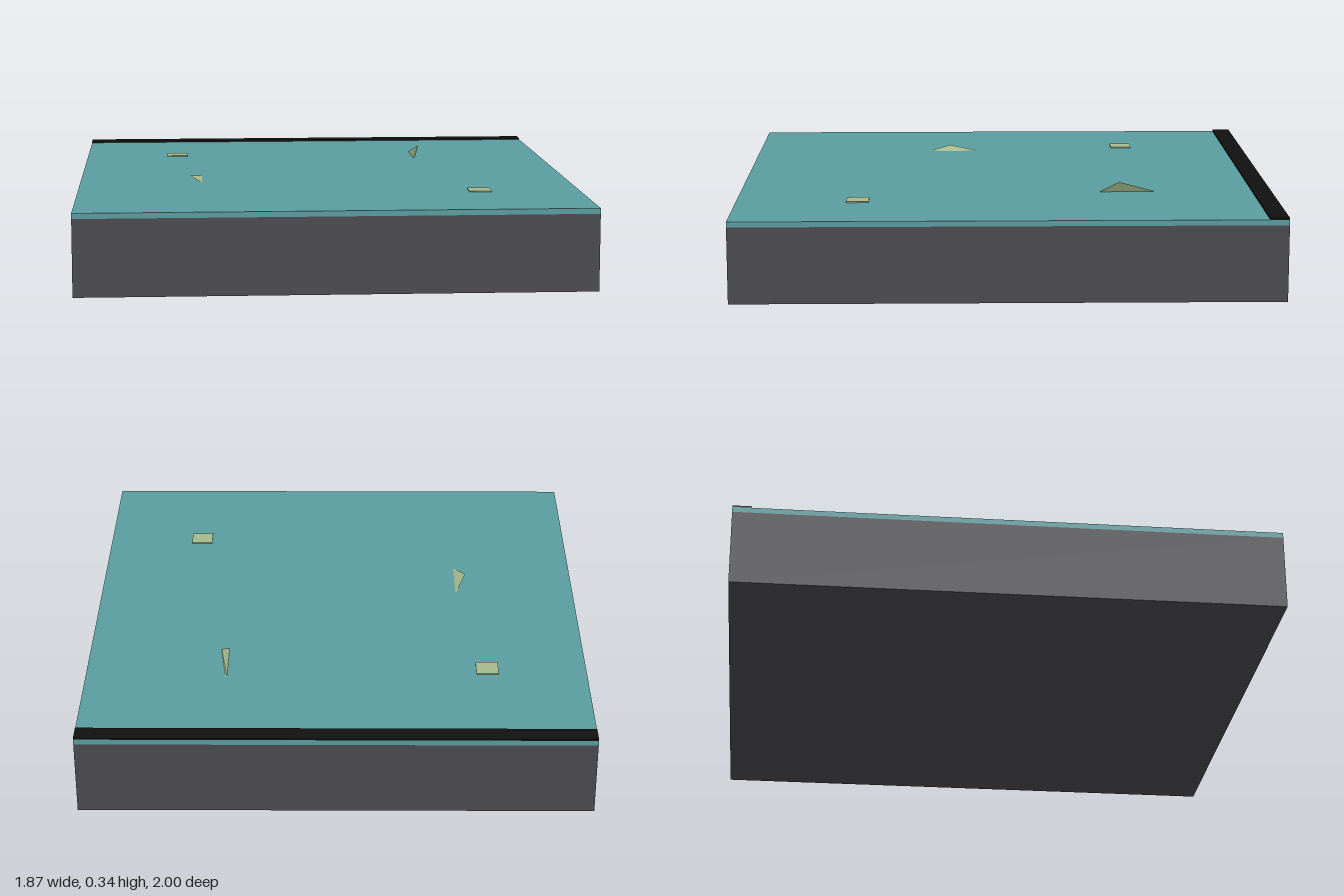
import * as THREE from 'three';

const flat = (name, color) => {
  const m = new THREE.MeshStandardMaterial({ color });
  m.name = name;
  return m;
};

export function createModel() {
  const model = new THREE.Group();
  const stone = flat('dark grey', 0x4a494e);
  const water = flat('teal', 0x5a9da0);
  const black = flat('black', 0x111111);
  const sage = flat('sage green', 0xa6ba8c);

  const add = (name, geometry, material, x = 0, y = 0, z = 0) => {
    const mesh = new THREE.Mesh(geometry, material);
    mesh.name = name;
    mesh.position.set(x, y, z);
    model.add(mesh);
  };
  const slab = (name, material, w, d, y0, y1, x = 0, z = 0) =>
    add(name, new THREE.BoxGeometry(w, y1 - y0, d), material, x, (y0 + y1) / 2, z);

  // Base block, coloured surface layer and back border strip
  slab('baseBlock', stone, 1.866, 2, 0, 0.28);
  slab('surfaceLayer', water, 1.866, 2, 0.28, 0.3);
  slab('backStrip', black, 1.866, 0.07, 0.3, 0.306, 0, -0.965);

  // Flat square chips
  for (const [x, z] of [[-0.563, -0.5], [0.56, 0.55]]) {
    slab('squareChip', sage, 0.083, 0.083, 0.3, 0.304, x, z);
  }

  // Thin leaning shard: two base points and a tip, given a little thickness in x
  const shard = (x, z0, z1, tip) => {
    const t = 0.006;
    const p = [[x, 0.3, z0], [x, 0.3, z1], tip];
    const q = p.map(([a, b, c], i) => [a + (i < 2 ? t : t / 3), b, c]);
    const tris = [
      p[0], p[1], p[2], q[1], q[0], q[2],
      p[1], q[1], q[2], p[1], q[2], p[2],
      q[0], p[0], p[2], q[0], p[2], q[2],
    ];
    const g = new THREE.BufferGeometry();
    g.setAttribute('position', new THREE.Float32BufferAttribute(tris.flat(), 3));
    g.computeVertexNormals();
    add('shard', g, sage);
  };
  shard(0.407, -0.565, -0.355, [0.432, 0.341, -0.427]);
  shard(-0.474, 0.1, 0.29, [-0.513, 0.317, 0.215]);

  return model;
}
